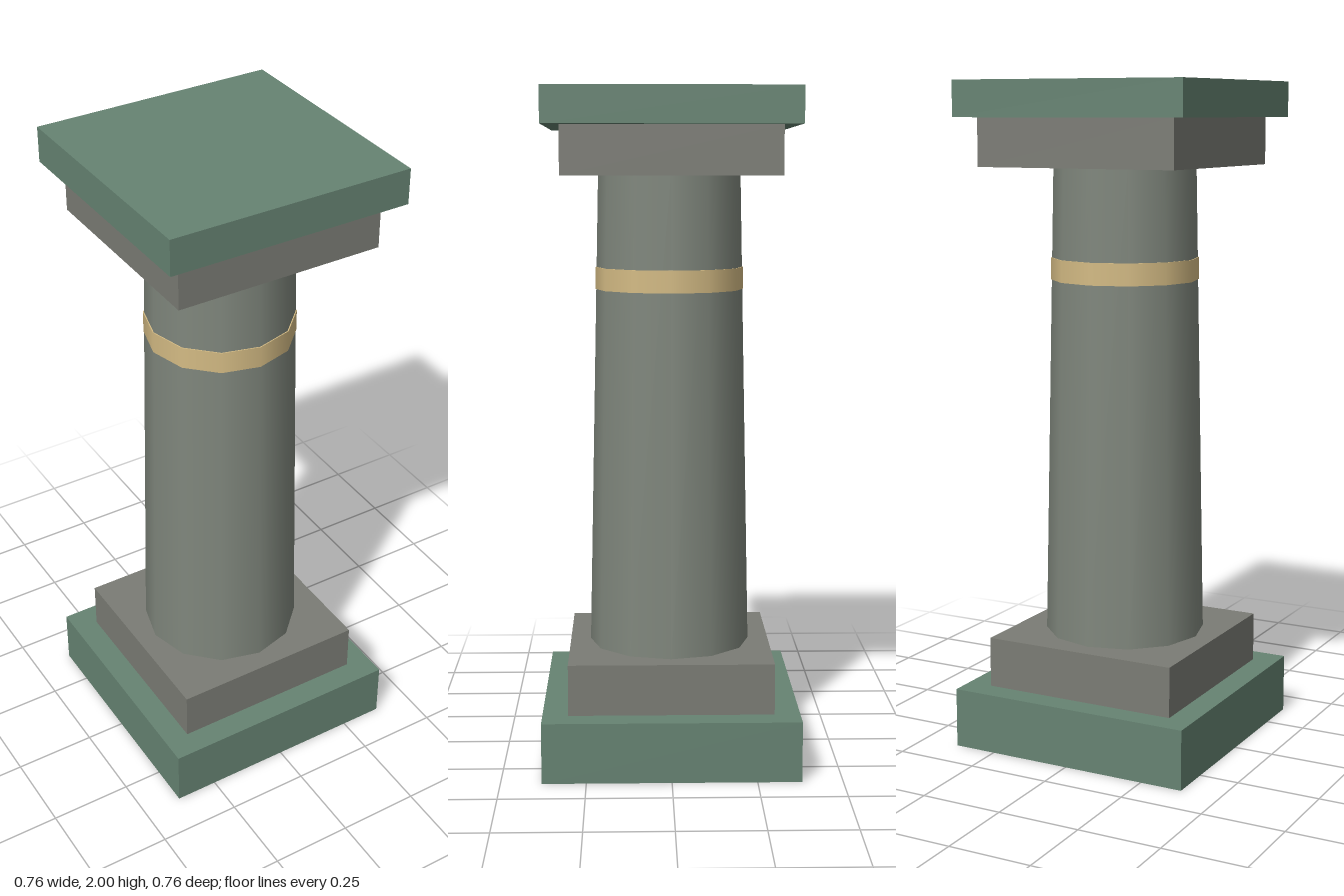
import * as THREE from 'three';

const material = (name, color) => {
  const m = new THREE.MeshStandardMaterial({ color });
  m.name = name;
  return m;
};

export function createModel() {
  const green = material('green slab', 0x668372);
  const stone = material('warm grey stone', 0x7b7c75);
  const shaftGrey = material('shaft grey', 0x7f867c);
  const gold = material('gold band', 0xd4bb84);

  const column = new THREE.Group();
  column.name = 'column';

  const add = (name, geometry, mat, y0, y1) => {
    const mesh = new THREE.Mesh(geometry, mat);
    mesh.name = name;
    mesh.position.y = (y0 + y1) / 2;
    column.add(mesh);
  };
  const slab = (name, width, y0, y1, mat) =>
    add(name, new THREE.BoxGeometry(width, y1 - y0, width), mat, y0, y1);
  const drum = (name, rTop, rBottom, y0, y1, mat) =>
    add(name, new THREE.CylinderGeometry(rTop, rBottom, y1 - y0, 12), mat, y0, y1);

  // Stepped base
  slab('base', 0.76, 0, 0.18, green);
  slab('plinth', 0.608, 0.18, 0.332, stone);

  // Tapered shaft with its ring
  drum('shaft', 0.213, 0.243, 0.332, 1.752, shaftGrey);
  drum('band', 0.222, 0.222, 1.414, 1.48, gold);

  // Stepped capital
  slab('capital', 0.632, 1.752, 1.894, stone);
  slab('topSlab', 0.735, 1.894, 2, green);

  return column;
}
